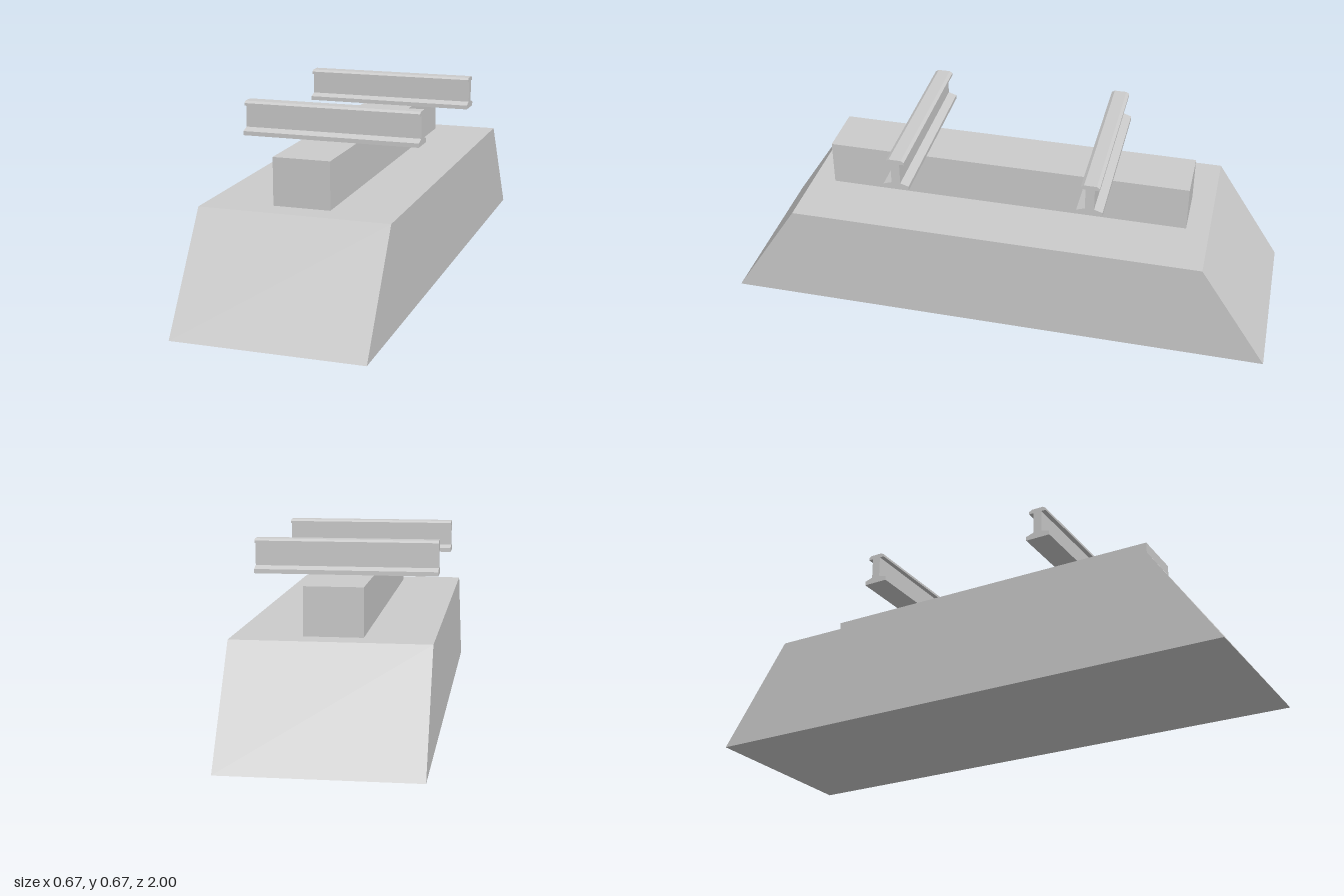
import * as THREE from 'three';

const material = new THREE.MeshStandardMaterial({ color: 0xcccccc, flatShading: true });

// Extrudes a profile drawn in (z, y) along x, centred on x = 0
function extrudeAlongX(points, length, name) {
  const shape = new THREE.Shape(points.map(([z, y]) => new THREE.Vector2(z, y)));
  const geometry = new THREE.ExtrudeGeometry(shape, { depth: length, bevelEnabled: false });
  geometry.translate(0, 0, -length / 2);
  geometry.rotateY(Math.PI / 2);
  const mesh = new THREE.Mesh(geometry, material);
  mesh.name = name;
  return mesh;
}

export function createModel() {
  const model = new THREE.Group();
  model.name = 'trackSection';

  // Ballast bed with sloping ends
  model.add(extrudeAlongX([[-1, 0], [1, 0], [0.75, 0.38], [-0.75, 0.38]], 0.666, 'ballastBed'));

  // Cross tie lying on the bed
  const tie = new THREE.Mesh(new THREE.BoxGeometry(0.2, 0.166, 1.332), material);
  tie.name = 'crossTie';
  tie.position.y = 0.463;
  model.add(tie);

  // Rail half profile: foot, web, head; mirrored for the other side
  const half = [
    [0.046, 0], [0.046, 0.015], [0.016, 0.025], [0.016, 0.104],
    [0.033, 0.104], [0.033, 0.113], [0.022, 0.12],
  ];
  const profile = [...half, ...half.map(([z, y]) => [-z, y]).reverse()];
  for (const [z, name] of [[0.346, 'frontRail'], [-0.346, 'backRail']]) {
    const rail = extrudeAlongX(profile, 0.642, name);
    rail.position.set(0, 0.546, z);
    model.add(rail);
  }
  return model;
}
